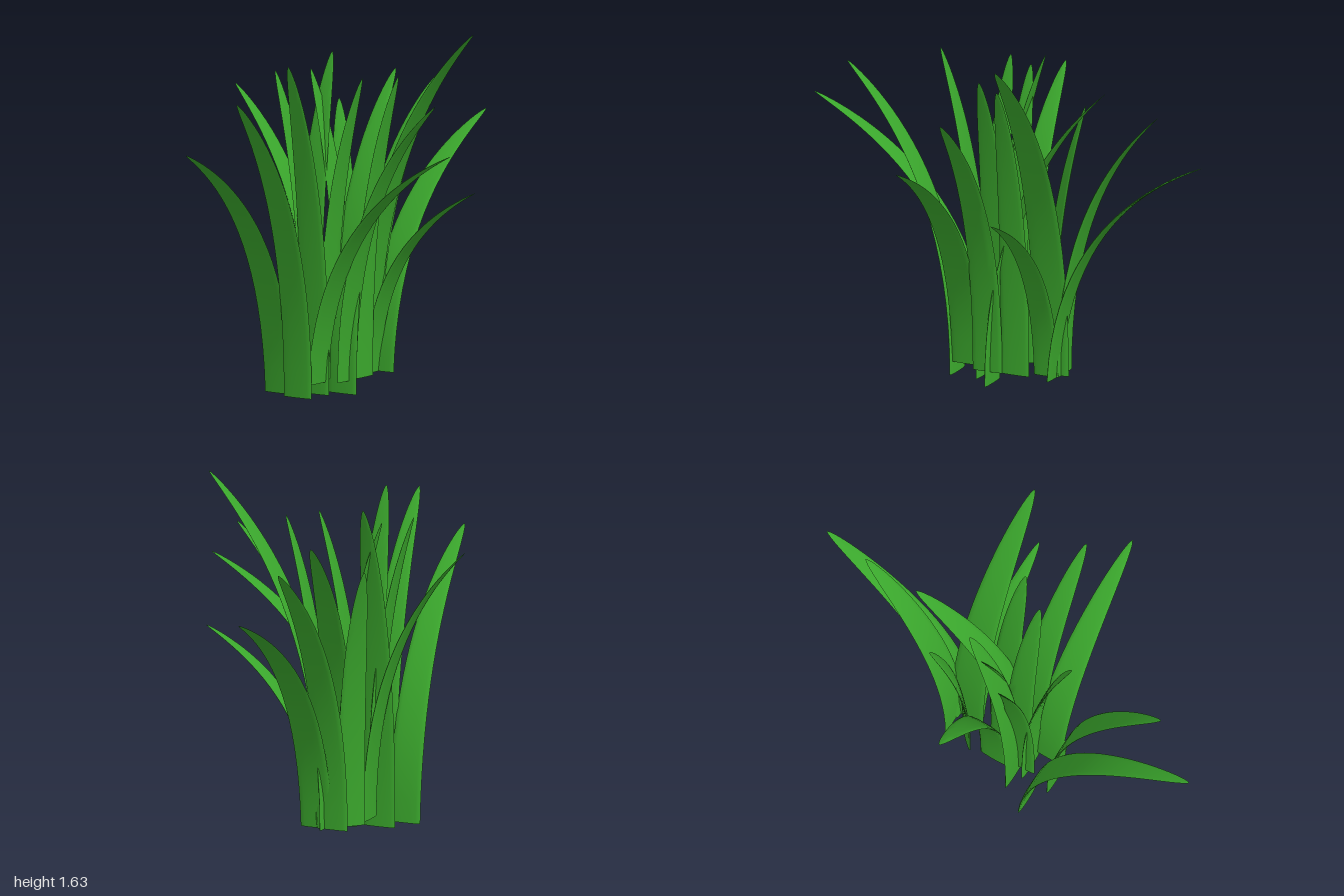
import * as THREE from 'three';
import { toCreasedNormals } from 'three/addons/utils/BufferGeometryUtils.js';

const leafMaterial = new THREE.MeshStandardMaterial({ color: 0x3aa62c });
const SEGMENTS = 24;
const AROUND = 16; // points around a blade's section
const THICKNESS = 0.016;

// A blade: a flat rounded section swept up a curve, narrowing to the tip.
// side is the horizontal direction of its width.
function bladeGeometry(curve, side, width) {
  const pos = [], index = [];
  for (let i = 0; i <= SEGMENTS; i++) {
    const t = 1 - Math.pow(1 - i / SEGMENTS, 1.6);
    const p = curve.getPoint(t);
    const normal = curve.getTangent(t).cross(side).normalize();
    const taper = Math.max(0.012, Math.pow(1 - Math.pow(t, 2.3), 0.6));
    for (let j = 0; j < AROUND; j++) {
      const angle = (j / AROUND) * Math.PI * 2;
      const s = Math.sin(angle);
      const depth = Math.sign(s) * Math.pow(Math.abs(s), 0.7);
      const v = p.clone()
        .addScaledVector(side, (Math.cos(angle) * width * taper) / 2)
        .addScaledVector(normal, (depth * THICKNESS * taper) / 2);
      pos.push(v.x, v.y, v.z);
    }
  }
  for (let i = 0; i < SEGMENTS; i++) {
    for (let j = 0; j < AROUND; j++) {
      const a = i * AROUND + j, b = i * AROUND + ((j + 1) % AROUND);
      index.push(a, b, b + AROUND, a, b + AROUND, a + AROUND);
    }
  }
  // Close the foot and the tip
  const top = SEGMENTS * AROUND;
  for (let j = 1; j < AROUND - 1; j++) {
    index.push(0, j + 1, j, top, top + j, top + j + 1);
  }
  const geometry = new THREE.BufferGeometry();
  geometry.setAttribute('position', new THREE.Float32BufferAttribute(pos, 3));
  geometry.setIndex(index);
  return toCreasedNormals(geometry, 0.9);
}

// A blade rising from foot to tip; the further it leans, the later it bends over
function makeBlade(name, foot, tip, side, width) {
  const lean = tip.clone().sub(foot).setY(0);
  const height = tip.y - foot.y;
  const slope = lean.length() / height;
  const bend = foot.clone().addScaledVector(lean, 0.2 * slope - 0.08);
  bend.y += height * (0.57 + 0.2 * slope);
  const curve = new THREE.QuadraticBezierCurve3(foot, bend, tip);
  const mesh = new THREE.Mesh(bladeGeometry(curve, side, width), leafMaterial);
  mesh.name = name;
  return mesh;
}

export function createModel() {
  const clump = new THREE.Group();
  clump.name = 'grassClump';
  const vec = (x, y, z) => new THREE.Vector3(x, y, z);
  const RAISED = 0.06; // foot height of the blades that start above the ground

  // Blades leaning to the front or back
  const alongZ = (name, footX, footY, footZ, tipX, tipY, tipZ) =>
    clump.add(makeBlade(name, vec(footX, footY, footZ), vec(tipX, tipY, tipZ), vec(1, 0, 0), 0.153));
  alongZ('frontBladeLow', -0.272, 0, 0.2, -0.2, 1.18, 1.0);
  alongZ('frontBladeMiddle', -0.125, 0, 0.26, -0.08, 1.39, 0.78);
  alongZ('frontBladeTall', -0.125, 0, 0.13, -0.12, 1.5, 0.34);
  alongZ('backBladeLow', -0.05, RAISED, -0.255, -0.01, 1.15, -1.0);
  alongZ('backBladeMiddle', -0.13, RAISED, -0.265, -0.09, 1.33, -0.75);
  alongZ('backBladeInner', -0.035, 0, 0.045, -0.12, 1.39, -0.47);
  alongZ('backBladeTall', -0.2, 0, 0.09, -0.22, 1.5, -0.13);

  // Blades leaning to the left or right, each staying near one z
  const alongX = (name, z, footX, tipX, tipY, width) =>
    clump.add(makeBlade(name, vec(footX, RAISED, z), vec(tipX, tipY, z), vec(0, 0, 1), width));
  alongX('leftBladeFront', 0.183, -0.07, 0.66, 1.15, 0.15);
  alongX('leftBladeMiddle', 0.053, -0.005, 0.48, 1.34, 0.145);
  alongX('leftBladeTallest', -0.222, -0.09, 0.49, 1.63, 0.17);
  alongX('leftBladeShort', -0.21, -0.06, 0.51, 0.92, 0.12);
  alongX('leftBladeInner', -0.08, -0.01, 0.18, 1.43, 0.14);
  alongX('leftBladeUpright', 0.055, -0.11, 0.08, 1.43, 0.14);
  alongX('rightBladeWide', -0.015, -0.2, -0.67, 1.33, 0.14);
  alongX('rightBladeFront', 0.108, -0.17, -0.36, 1.43, 0.14);
  alongX('rightBladeUpright', -0.035, -0.08, -0.27, 1.43, 0.14);

  // One blade leaning diagonally to the back right
  clump.add(makeBlade('rightBladeBack', vec(-0.18, RAISED, -0.17), vec(-0.3, 1.26, -0.29),
    vec(-1, 0, 1).normalize(), 0.13));
  return clump;
}
